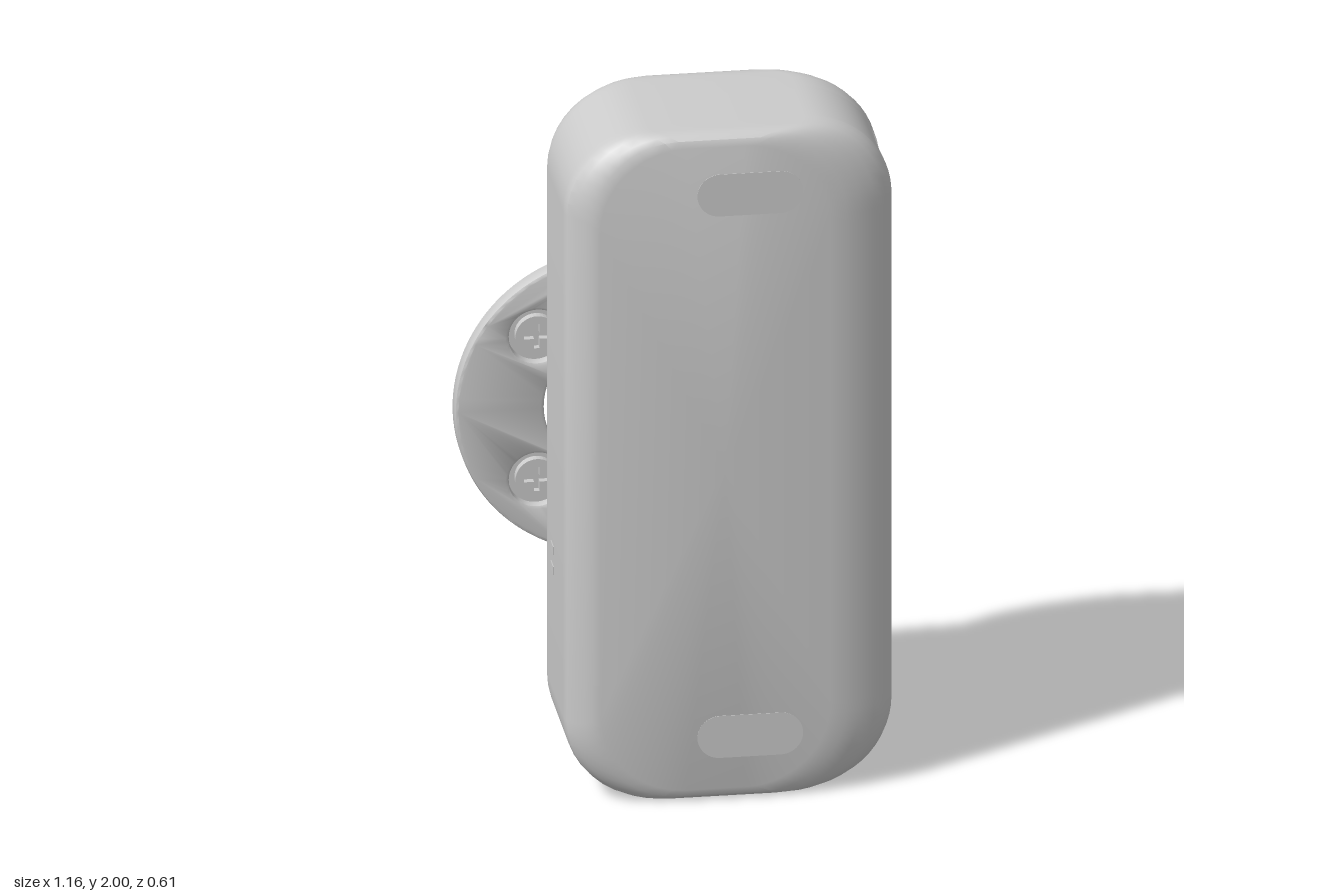
import * as THREE from 'three';
import { toCreasedNormals } from 'three/addons/utils/BufferGeometryUtils.js';

const material = new THREE.MeshStandardMaterial({ color: 0xcccccc });

function add(parent, name, geometry, x = 0, y = 0, z = 0) {
  const mesh = new THREE.Mesh(geometry, material);
  mesh.name = name;
  mesh.position.set(x, y, z);
  parent.add(mesh);
  return mesh;
}

// cylinder whose axis runs along z
const disc = (r, depth, sides = 32) => new THREE.CylinderGeometry(r, r, depth, sides).rotateX(Math.PI / 2);

// housing: outlines stacked along z, with two pockets sunk into the +x side
const ZC = 0.06, RADIUS = 0.24, FLOOR = 0.33;
const WINDOWS = [[0.13, 0.74], [1.27, 1.88]];
// distance from middle plane, left x, right x, inset at top and bottom
const PROFILE = [
  [0.14, -0.34, 0.58, 0], [0.165, -0.34, 0.572, 0], [0.185, -0.335, 0.555, 0],
  [0.205, -0.315, 0.522, 0], [0.222, -0.292, 0.48, 0.005],
  [0.234, -0.27, 0.44, 0.015], [0.24, -0.25, 0.395, 0.035],
];

function outline([, x0, x1, inset], sunk, shrink) {
  const pts = [], r = RADIUS, bottom = inset, top = 2 - inset;
  const edge = (y) => {
    const over = Math.max(0, bottom + r - y, y - (top - r));
    return x1 - r + Math.sqrt(Math.max(0, r * r - over * over));
  };
  const arc = (cx, cy, from, to) => {
    for (let i = 0; i <= 10; i++) {
      const a = from + (to - from) * i / 10;
      pts.push([cx + r * Math.cos(a), cy + r * Math.sin(a)]);
    }
  };
  const [low, high] = WINDOWS.map(([a, b]) => [a + shrink, b - shrink]);
  const start = Math.asin((low[0] - bottom - r) / r);
  const end = Math.asin((high[1] - top + r) / r);
  arc(x1 - r, bottom + r, -Math.PI / 2, start);
  for (const [a, b] of [low, high]) {
    pts.push([edge(a), a]);
    for (let i = 0; i <= 20; i++) {
      const y = a + (b - a) * i / 20;
      pts.push([sunk ? FLOOR : edge(y), y]);
    }
    pts.push([edge(b), b]);
  }
  arc(x1 - r, top - r, end, Math.PI / 2);
  arc(x0 + r, top - r, Math.PI / 2, Math.PI);
  arc(x0 + r, bottom + r, Math.PI, Math.PI * 1.5);
  return pts;
}

function housingGeometry() {
  const rings = [];
  const ring = (z, row, sunk, shrink) => rings.push(outline(row, sunk, shrink).map(([x, y]) => [x, y, z]));
  [...PROFILE].reverse().forEach((row) => ring(ZC - row[0], row, false, 0.03));
  ring(-0.025, PROFILE[0], false, 0.03);
  // rounded pocket corners
  [[-0.025, 0.03], [-0.016, 0.009], [0.005, 0], [0.17, 0], [0.191, 0.009], [0.2, 0.03]]
    .forEach(([z, shrink]) => ring(z, PROFILE[0], true, shrink));
  PROFILE.forEach((row) => ring(ZC + row[0], row, false, 0.03));

  const positions = [], n = rings[0].length;
  const tri = (...corners) => corners.forEach((c) => positions.push(...c));
  const back = rings[0], front = rings[rings.length - 1];
  for (let j = 0; j < n; j++) {
    const k = (j + 1) % n;
    for (let i = 0; i < rings.length - 1; i++) {
      const a = rings[i], b = rings[i + 1];
      tri(a[j], a[k], b[k]);
      tri(a[j], b[k], b[j]);
    }
    tri([0.1, 1, front[0][2]], front[j], front[k]);
    tri([0.1, 1, back[0][2]], back[k], back[j]);
  }
  const geometry = new THREE.BufferGeometry();
  geometry.setAttribute('position', new THREE.Float32BufferAttribute(positions, 3));
  return toCreasedNormals(geometry, 0.55);
}

// mounting plate: disc with two filleted ears, all in the xy plane
const DISC = { x: -0.135, y: 1, r: 0.45 };
const EAR = { x: 0.04, y: 1.525, r: 0.09 };
const PIN_X = -0.355, PIN_Y = [0.785, 1.215];

function plateGeometry() {
  const fillet = 0.12;
  const dx = EAR.x - DISC.x, dy = EAR.y - DISC.y, d = Math.hypot(dx, dy);
  const A = DISC.r + fillet, B = EAR.r + fillet;
  const along = (A * A - B * B + d * d) / (2 * d), across = Math.sqrt(A * A - along * along);
  const filletAt = (side) => ({
    x: DISC.x + (dx * along + side * dy * across) / d,
    y: DISC.y + (dy * along - side * dx * across) / d,
    r: fillet,
  });
  const flip = (c) => ({ ...c, y: 2 - c.y });
  const right = filletAt(1), left = filletAt(-1);
  const shape = new THREE.Shape();
  const angle = (c, p) => Math.atan2(p.y - c.y, p.x - c.x);
  const turn = (c, from, to, clockwise) =>
    shape.absarc(c.x, c.y, c.r, angle(c, from), angle(c, to), clockwise);
  turn(DISC, flip(right), right, false);
  turn(right, DISC, EAR, true);
  turn(EAR, right, left, false);
  turn(left, EAR, DISC, true);
  turn(DISC, left, flip(left), false);
  turn(flip(left), DISC, flip(EAR), true);
  turn(flip(EAR), flip(left), flip(right), false);
  turn(flip(right), flip(EAR), DISC, true);

  // centre bore, three small holes, screw seats
  const holes = [[DISC.x, 1, 0.2], [0.085, 0.79, 0.036], [0.085, 1.21, 0.036], [-0.12, 0.72, 0.03],
    [EAR.x, EAR.y, 0.068], [EAR.x, 2 - EAR.y, 0.068]];
  PIN_Y.forEach((y) => holes.push([PIN_X, y, 0.078]));
  for (const [x, y, r] of holes) {
    shape.holes.push(new THREE.Path().absarc(x, y, r, 0, Math.PI * 2, true));
  }
  const geometry = new THREE.ExtrudeGeometry(shape, {
    depth: 0.036, bevelThickness: 0.012, bevelSize: 0.01, bevelOffset: -0.01, bevelSegments: 2, curveSegments: 32,
  });
  return toCreasedNormals(geometry, 0.6);
}

// screw head with a cross recess, facing +z
function screwHead(r, depth) {
  const shape = new THREE.Shape().absarc(0, 0, r, 0, Math.PI * 2, false);
  const w = r * 0.13, l = r * 0.6;
  const cross = [[w, l], [w, w], [l, w], [l, -w], [w, -w], [w, -l], [-w, -l], [-w, -w], [-l, -w], [-l, w], [-w, w], [-w, l]];
  shape.holes.push(new THREE.Path(cross.map(([x, y]) => new THREE.Vector2(x, y))));
  const group = new THREE.Group();
  group.name = 'screw';
  add(group, 'screwHead', new THREE.ExtrudeGeometry(shape, { depth, bevelEnabled: false, curveSegments: 20 }));
  add(group, 'screwRecessFloor', disc(r * 0.9, 0.004), 0, 0, 0.002);
  return group;
}

export function createModel() {
  const model = new THREE.Group();
  model.name = 'mountedSensorBox';
  add(model, 'housing', housingGeometry());

  // flush oval inlays on front and back
  const oval = new THREE.Shape();
  oval.absarc(0.085, 0, 0.063, -Math.PI / 2, Math.PI / 2, false);
  oval.absarc(-0.085, 0, 0.063, Math.PI / 2, Math.PI * 1.5, false);
  const inlay = new THREE.ExtrudeGeometry(oval, { depth: 0.004, bevelEnabled: false });
  for (const y of [0.19, 1.82]) {
    add(model, 'frontInlay', inlay, 0.17, y, 0.2975);
    add(model, 'backInlay', inlay, 0.17, y, -0.1815);
  }

  // rails, terminal block and screws inside the pockets
  for (const [a, b] of [[0.16, 0.74], [1.27, 1.85]]) {
    add(model, 'rail', new THREE.BoxGeometry(0.03, b - a, 0.11), FLOOR + 0.01, (a + b) / 2, 0.085);
  }
  const ring = new THREE.TorusGeometry(0.027, 0.008, 8, 24).rotateY(Math.PI / 2);
  for (const y of [0.28, 0.52, 1.475]) add(model, 'railScrew', ring, FLOOR + 0.026, y, 0.087);
  add(model, 'terminalBlock', new THREE.BoxGeometry(0.15, 0.345, 0.222), 0.405, 1.6725, 0.0875);
  const dot = new THREE.TorusGeometry(0.016, 0.005, 6, 16).rotateY(Math.PI / 2);
  for (const y of [1.61, 1.73]) {
    for (const z of [-0.003, 0.178]) add(model, 'terminalHole', dot, 0.481, y, z);
  }

  // small ports on the -x side
  for (const y of [0.6, 0.66]) add(model, 'sidePort', new THREE.BoxGeometry(0.004, 0.025, 0.05), -0.34, y, 0);

  add(model, 'mountingPlate', plateGeometry(), 0, 0, -0.238);
  for (const y of [EAR.y, 2 - EAR.y]) {
    const screw = screwHead(0.062, 0.06);
    screw.rotation.y = Math.PI;
    screw.position.set(EAR.x, y, -0.179);
    model.add(screw);
  }
  for (const y of PIN_Y) {
    add(model, 'screwSeat', disc(0.082, 0.03), PIN_X, y, -0.234);
    add(model, 'pin', disc(0.037, 0.08, 20), PIN_X, y, -0.27);
    const screw = screwHead(0.06, 0.025);
    screw.position.set(PIN_X, y, -0.22);
    model.add(screw);
  }
  return model;
}
